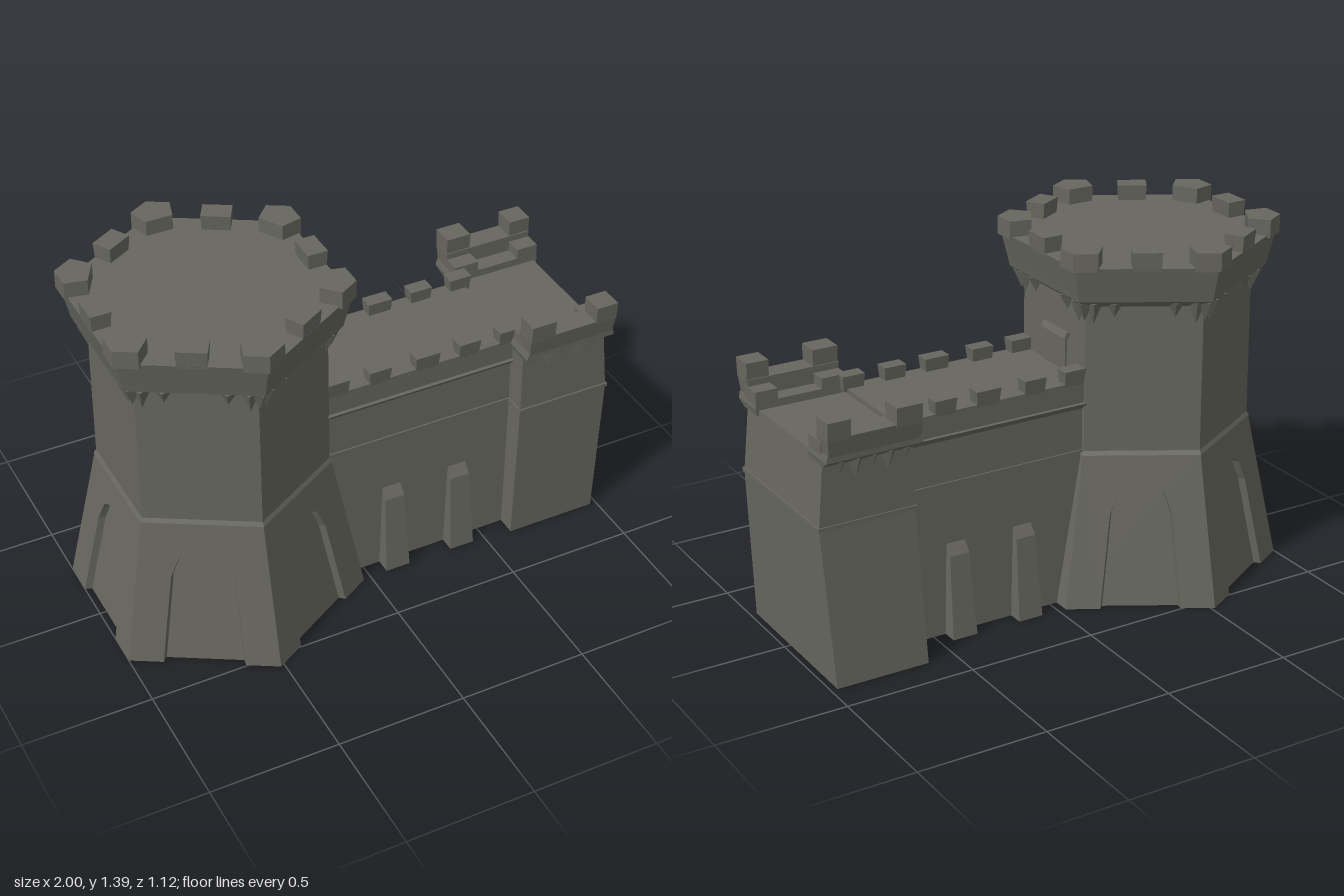
import * as THREE from 'three';

const stone = new THREE.MeshStandardMaterial({ color: 0x67675f });
stone.name = 'grey stone';

// Adds a faceted mesh
function add(parent, name, geometry) {
  const g = geometry.index ? geometry.toNonIndexed() : geometry;
  g.computeVertexNormals();
  const mesh = new THREE.Mesh(g, stone);
  mesh.name = name;
  parent.add(mesh);
  return mesh;
}

// Solid through stacked rectangles [y, x0, x1, z0, z1]
function loft(rings) {
  const pos = [], idx = [];
  for (const [y, x0, x1, z0, z1] of rings) pos.push(x0, y, z1, x1, y, z1, x1, y, z0, x0, y, z0);
  for (let r = 0; r < rings.length - 1; r++) {
    for (let i = 0; i < 4; i++) {
      const a = r * 4 + i, b = r * 4 + (i + 1) % 4;
      idx.push(a, b, b + 4, a, b + 4, a + 4);
    }
  }
  const t = (rings.length - 1) * 4;
  idx.push(0, 2, 1, 0, 3, 2, t, t + 1, t + 2, t, t + 2, t + 3);
  const g = new THREE.BufferGeometry();
  g.setAttribute('position', new THREE.Float32BufferAttribute(pos, 3));
  g.setIndex(idx);
  return g;
}

const box = (x0, x1, y0, y1, z0, z1) => loft([[y0, x0, x1, z0, z1], [y1, x0, x1, z0, z1]]);

// Hexagonal frustum with a corner facing the front
const hex = (r0, r1, y0, y1) => new THREE.CylinderGeometry(r1, r0, y1 - y0, 6).translate(0, (y0 + y1) / 2, 0);

// Pointed corbel hanging below a ledge
const corbel = (x, top, z, height) =>
  new THREE.ConeGeometry(0.034, height, 4).rotateX(Math.PI).translate(x, top - height / 2, z);

// Flared base facing: a slab with an arched opening, mitred at the hexagon corners
function archedFacing() {
  const H = 0.59;
  const s = new THREE.Shape();
  s.moveTo(-1, 0);
  s.lineTo(-0.54, 0);
  s.lineTo(-0.48, 0.36);
  s.lineTo(-0.36, 0.445);
  s.lineTo(-0.2, 0.47);
  s.lineTo(0.2, 0.47);
  s.lineTo(0.36, 0.445);
  s.lineTo(0.48, 0.36);
  s.lineTo(0.54, 0);
  s.lineTo(1, 0);
  s.lineTo(1, H);
  s.lineTo(-1, H);
  const g = new THREE.ExtrudeGeometry(s, { depth: 1, bevelEnabled: false });
  const p = g.attributes.position;
  for (let i = 0; i < p.count; i++) {
    const u = p.getX(i), y = p.getY(i);
    const r = THREE.MathUtils.lerp(0.56, 0.435, y / H) - 0.03 * (1 - p.getZ(i));
    p.setXYZ(i, u * r / 2, y, r * Math.cos(Math.PI / 6));
  }
  return g;
}

function cornerMerlon() {
  const s = new THREE.Shape([[0, -0.525], [0.076, -0.481], [0.052, -0.4], [-0.052, -0.4], [-0.076, -0.481]]
    .map(([x, y]) => new THREE.Vector2(x, y)));
  return new THREE.ExtrudeGeometry(s, { depth: 0.07, bevelEnabled: false })
    .rotateX(-Math.PI / 2).translate(0, 1.32, 0);
}

function buildTower() {
  const tower = new THREE.Group();
  tower.name = 'tower';
  tower.position.x = -0.515;
  add(tower, 'towerBaseCore', hex(0.53, 0.405, 0, 0.59));
  add(tower, 'towerShaft', hex(0.43, 0.425, 0.585, 1.2));
  add(tower, 'towerString', hex(0.44, 0.43, 0.582, 0.598));
  add(tower, 'towerLedgeSlope', hex(0.435, 0.48, 1.165, 1.195));
  add(tower, 'towerLedge', hex(0.48, 0.487, 1.195, 1.225));
  add(tower, 'towerParapet', hex(0.487, 0.513, 1.225, 1.33));
  for (let i = 0; i < 6; i++) {
    // Face sector
    const face = new THREE.Group();
    face.name = 'towerFace';
    face.rotation.y = Math.PI / 6 + i * Math.PI / 3;
    tower.add(face);
    add(face, 'archedFacing', archedFacing());
    add(face, 'edgeMerlon', loft([[1.32, -0.052, 0.052, 0.375, 0.443], [1.39, -0.055, 0.055, 0.37, 0.448]]));
    for (const s of [-1, 1]) {
      add(face, 'towerCorbel', corbel(s * 0.185, 1.185, 0.38, 0.085));
      add(face, 'towerCorbel', corbel(s * 0.11, 1.185, 0.38, 0.06));
    }
    // Corner sector
    const corner = new THREE.Group();
    corner.name = 'towerCorner';
    corner.rotation.y = i * Math.PI / 3;
    tower.add(corner);
    add(corner, 'cornerMerlon', cornerMerlon());
    add(corner, 'cornerCorbel', corbel(0, 1.185, 0.435, 0.075));
  }
  return tower;
}

function buildWall() {
  const wall = new THREE.Group();
  wall.name = 'wall';
  add(wall, 'wallBody', loft([
    [0, -0.3, 0.64, -0.215, 0.215], [0.59, -0.3, 0.64, -0.205, 0.205], [0.78, -0.3, 0.64, -0.2, 0.2]]));
  add(wall, 'wallTop', box(-0.2, 0.63, 0.785, 0.875, -0.21, 0.21));
  for (const s of [-1, 1]) {
    const span = (a, b) => (s > 0 ? [a, b] : [-b, -a]);
    add(wall, 'wallString', box(-0.16, 0.63, 0.593, 0.602, ...span(0.19, 0.211)));
    add(wall, 'wallLedge', loft([[0.765, -0.15, 0.625, ...span(0.19, 0.205)], [0.79, -0.15, 0.625, ...span(0.19, 0.225)]]));
    // Battlements along the walkway
    for (const [a, b] of [[-0.15, -0.06], [0.02, 0.11], [0.21, 0.31], [0.39, 0.48], [0.56, 0.65]]) {
      add(wall, 'wallMerlon', loft([[0.865, a + 0.005, b - 0.005, ...span(0.165, 0.21)], [0.925, a, b, ...span(0.16, 0.217)]]));
    }
    // Tapered buttresses
    for (const x of [0.12, 0.4]) {
      add(wall, 'buttress', loft([
        [0, x - 0.05, x + 0.05, ...span(0.18, 0.275)],
        [0.32, x - 0.04, x + 0.04, ...span(0.18, 0.238)],
        [0.36, x - 0.037, x + 0.037, ...span(0.18, 0.212)]]));
    }
  }
  // Doorway from the walkway into the tower
  add(wall, 'doorPanel', box(-0.15, -0.138, 0.87, 1.01, -0.09, 0.055));
  add(wall, 'doorHood', loft([[1.008, -0.15, -0.125, -0.105, 0.06], [1.028, -0.15, -0.135, -0.105, 0.06]]));
  return wall;
}

function buildGatehouse() {
  const house = new THREE.Group();
  house.name = 'endBlock';
  add(house, 'endBlockBody', loft([
    [0, 0.61, 0.975, -0.375, 0.29], [0.59, 0.62, 0.995, -0.315, 0.29], [0.855, 0.622, 0.97, -0.31, 0.285]]));
  add(house, 'endBlockString', box(0.615, 1.0, 0.588, 0.602, -0.32, 0.297));
  for (const [s, outer] of [[1, 0.345], [-1, 0.385]]) {
    const span = (a, b) => (s > 0 ? [a, b] : [-b, -a]);
    const inner = outer - 0.155;
    // Overhanging parapet with two raised corners
    add(house, 'parapetLedge', loft([
      [0.835, 0.62, 0.98, ...span(inner, outer - 0.05)], [0.86, 0.612, 0.985, ...span(inner, outer - 0.015)],
      [0.885, 0.618, 0.98, ...span(inner, outer - 0.015)]]));
    add(house, 'parapet', loft([
      [0.88, 0.622, 0.975, ...span(outer - 0.09, outer - 0.015)], [0.95, 0.618, 0.982, ...span(outer - 0.09, outer - 0.005)]]));
    for (const [a, b] of [[0.62, 0.72], [0.895, 0.982]]) {
      add(house, 'parapetMerlon', loft([[0.94, a, b, ...span(outer - 0.085, outer - 0.005)], [1.012, a, b, ...span(outer - 0.088, outer)]]));
      add(house, 'parapetReturn', box(a, b, 0.84, 0.925, ...span(inner, outer - 0.06)));
    }
    for (let i = 0; i < 5; i++) {
      add(house, 'parapetCorbel', corbel(0.665 + i * 0.063, 0.848, s * (outer - 0.06), i % 2 ? 0.085 : 0.06));
    }
  }
  return house;
}

export function createModel() {
  const castle = new THREE.Group();
  castle.name = 'castle';
  castle.add(buildTower(), buildWall(), buildGatehouse());
  return castle;
}
